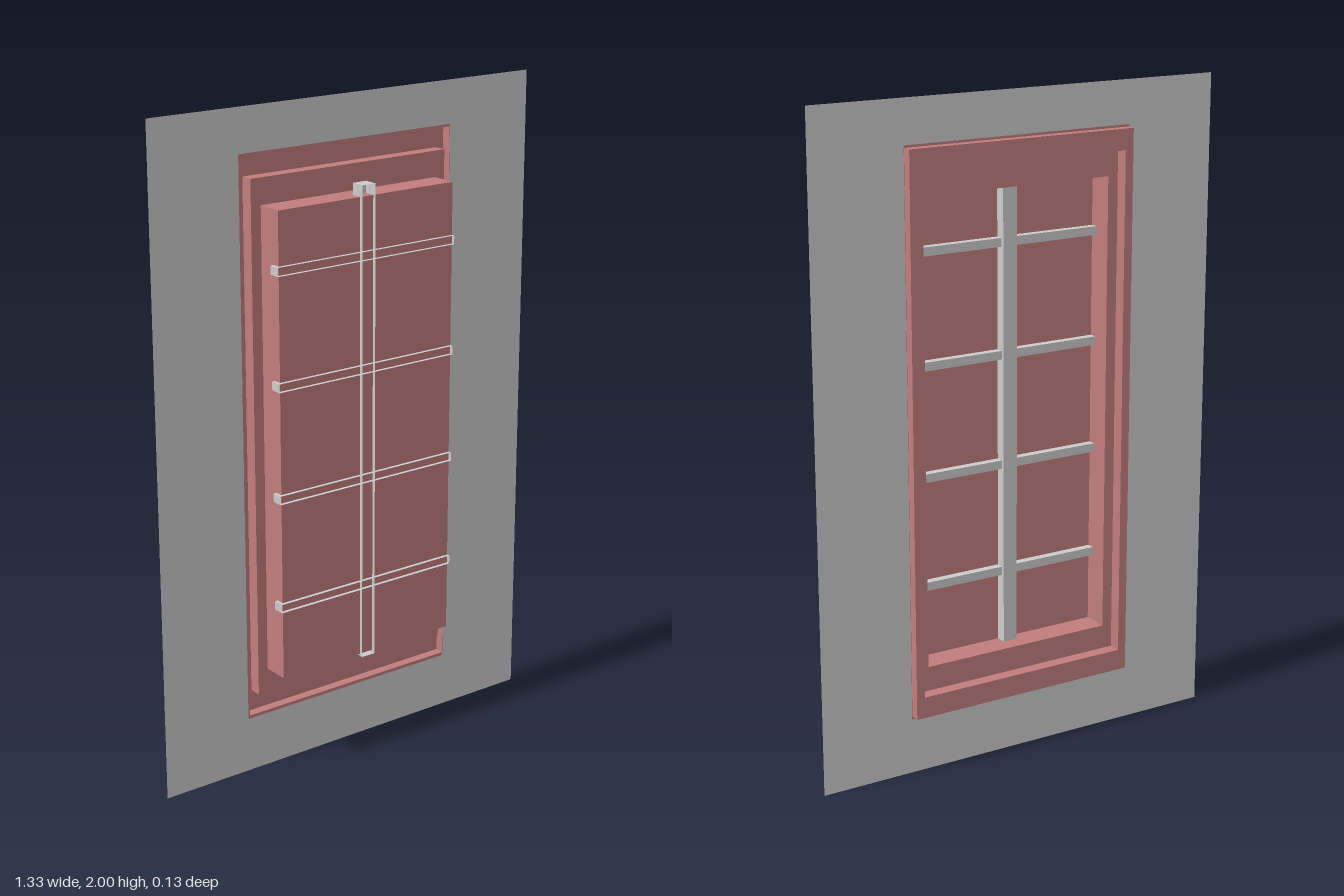
import * as THREE from 'three';

const grey = new THREE.MeshStandardMaterial({ color: 0xcccccc, side: THREE.DoubleSide });
const red = new THREE.MeshStandardMaterial({ color: 0xc27d7d, side: THREE.DoubleSide });

// A rectangle in the wall's plane: left, right, bottom, top, depth
const corners = ([l, r, b, t, z]) => [[l, b, z], [r, b, z], [r, t, z], [l, t, z]];

// Folded sheet running through a series of rectangles, optionally closed at the last one
function foldedSheet(name, material, rects, capped = false) {
  const pos = [];
  const quad = (a, b, c, d) => pos.push(...a, ...b, ...c, ...a, ...c, ...d);
  const loops = rects.map(corners);
  for (let i = 0; i + 1 < loops.length; i++) {
    for (let k = 0; k < 4; k++) {
      const n = (k + 1) % 4;
      quad(loops[i][k], loops[i][n], loops[i + 1][n], loops[i + 1][k]);
    }
  }
  if (capped) quad(...loops[loops.length - 1]);
  const geometry = new THREE.BufferGeometry();
  geometry.setAttribute('position', new THREE.Float32BufferAttribute(pos, 3));
  geometry.computeVertexNormals();
  const mesh = new THREE.Mesh(geometry, material);
  mesh.name = name;
  return mesh;
}

// Glazing bar: a channel open towards the front, closed at the back
function glazingBar(name, l, r, b, t, zFront, zBack) {
  return foldedSheet(name, grey, [[l, r, b, t, zFront], [l, r, b, t, zBack]], true);
}

export function createModel() {
  const model = new THREE.Group();
  model.name = 'window';
  const zWall = -0.037, zBack = -0.066, zStep = -0.027, zPane = 0.055, zFront = 0.066;

  // Thin wall with the window opening
  const opening = [-0.375, 0.371, 0.17, 1.87, zWall];
  model.add(foldedSheet('wall', grey, [[-0.665, 0.665, 0, 2, zWall], opening]));

  // Outer frame: lip, rim standing out at the back, then a step to the front
  const step = [-0.343, 0.343, 0.245, 1.8, zStep];
  model.add(foldedSheet('outerFrame', red, [
    opening,
    [-0.37, 0.37, 0.18, 1.863, zWall],
    [-0.37, 0.37, 0.18, 1.863, zBack],
    [-0.343, 0.343, 0.245, 1.8, zBack],
    step,
  ]));

  // Deep inner box closed by the pane panel
  const box = [-0.31, 0.308, 0.32, 1.722];
  model.add(foldedSheet('innerFrame', red, [step, [...box, zStep], [...box, zPane]]));
  model.add(foldedSheet('panePanel', red, [[...box, zPane]], true));

  // Glazing bars
  const bars = new THREE.Group();
  bars.name = 'glazingBars';
  bars.add(glazingBar('verticalBar', -0.028, 0.018, 0.313, 1.757, zFront, 0.022));
  for (let i = 0; i < 4; i++) {
    const y = 0.547 + i * 0.335;
    bars.add(glazingBar('horizontalBar' + (i + 1), -0.32, 0.308, y - 0.013, y + 0.013, zFront, 0.031));
  }
  model.add(bars);
  return model;
}
